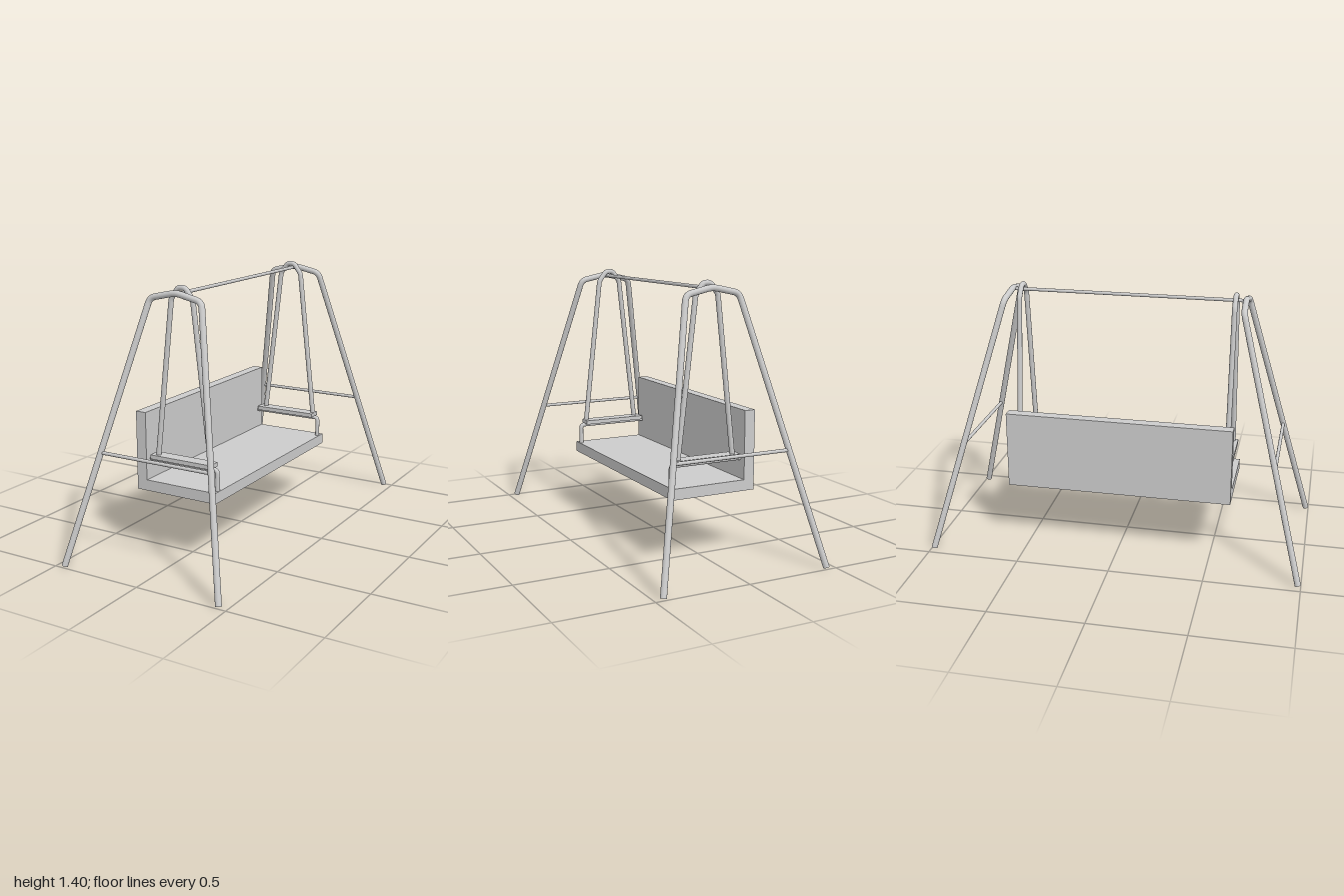
import * as THREE from 'three';
import { mergeGeometries } from 'three/addons/utils/BufferGeometryUtils.js';

const material = new THREE.MeshStandardMaterial({ color: 0xcccccc });
const V = (x, y, z) => new THREE.Vector3(x, y, z);

// Capped round tube along straight runs with softened corners
function bentTube(points, radius, bend) {
  const path = new THREE.CurvePath();
  let from = points[0];
  for (let i = 1; i < points.length - 1; i++) {
    const p = points[i];
    const a = p.clone().add(points[i - 1].clone().sub(p).setLength(bend));
    const b = p.clone().add(points[i + 1].clone().sub(p).setLength(bend));
    path.add(new THREE.LineCurve3(from, a));
    path.add(new THREE.QuadraticBezierCurve3(a, p, b));
    from = b;
  }
  path.add(new THREE.LineCurve3(from, points[points.length - 1]));
  const parts = [new THREE.TubeGeometry(path, points.length > 2 ? 240 : 1, radius, 16)];
  for (const t of [0, 1]) {
    const dir = path.getTangentAt(t).multiplyScalar(t ? 1 : -1);
    const cap = new THREE.CircleGeometry(radius, 16);
    cap.applyQuaternion(new THREE.Quaternion().setFromUnitVectors(V(0, 0, 1), dir));
    const end = path.getPointAt(t);
    parts.push(cap.translate(end.x, end.y, end.z));
  }
  return mergeGeometries(parts);
}

export function createModel() {
  const group = new THREE.Group();
  const add = (name, geometry) => {
    const mesh = new THREE.Mesh(geometry, material);
    mesh.name = name;
    group.add(mesh);
  };

  // L-shaped bench: seat and backrest
  const profile = new THREE.Shape([
    [-0.265, 0.333], [0.205, 0.333], [0.205, 0.39],
    [-0.207, 0.39], [-0.207, 0.748], [-0.265, 0.748],
  ].map(([x, y]) => new THREE.Vector2(x, y)));
  add('bench', new THREE.ExtrudeGeometry(profile, { depth: 1.21, bevelEnabled: false }).translate(0, 0, -0.605));

  // Overhead bar
  add('topBar', bentTube([V(0, 1.365, -0.625), V(0, 1.365, 0.625)], 0.009, 0));

  for (const s of [1, -1]) {
    const end = s > 0 ? 'front' : 'back';

    // Splayed A-frame with a shallow peak
    add(end + 'Frame', bentTube([
      V(-0.453, 0.005, s * 0.985), V(-0.148, 1.339, s * 0.625), V(0, 1.371, s * 0.62),
      V(0.148, 1.339, s * 0.625), V(0.453, 0.005, s * 0.985),
    ], 0.016, 0.03));

    // Cross brace between the legs
    add(end + 'Brace', bentTube([V(-0.318, 0.58, s * 0.83), V(0.318, 0.58, s * 0.83)], 0.009, 0));

    // Hanger looped over the overhead bar
    add(end + 'Hanger', bentTube([
      V(-0.157, 0.515, s * 0.568), V(-0.062, 1.335, s * 0.568), V(-0.02, 1.39, s * 0.568),
      V(0.02, 1.39, s * 0.568), V(0.062, 1.335, s * 0.568), V(0.157, 0.515, s * 0.568),
    ], 0.0135, 0.015));

    // Armrest board
    add(end + 'Armrest', new THREE.BoxGeometry(0.36, 0.022, 0.07).translate(-0.01, 0.514, s * 0.56));

    // Bent tube carrying the armrest
    add(end + 'ArmSupport', bentTube([
      V(-0.21, 0.497, s * 0.562), V(0.191, 0.497, s * 0.562), V(0.191, 0.385, s * 0.562),
    ], 0.0115, 0.02));
  }
  return group;
}
